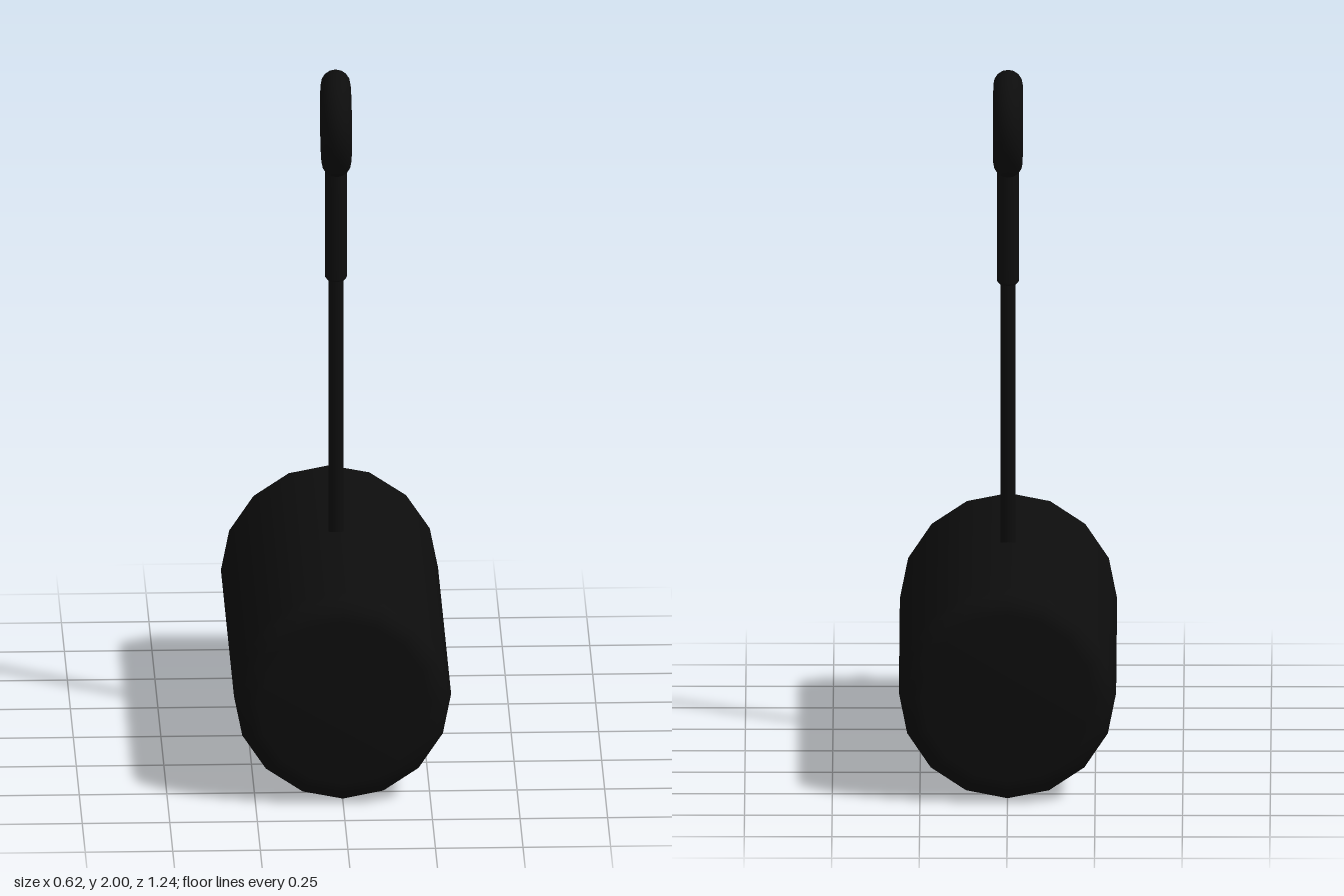
import * as THREE from 'three';

export function createModel() {
  const group = new THREE.Group();
  const black = new THREE.MeshStandardMaterial({ color: 0x0d0d0d });

  const add = (name, geometry, y) => {
    const mesh = new THREE.Mesh(geometry, black);
    mesh.name = name;
    mesh.position.y = y;
    group.add(mesh);
    return mesh;
  };

  // Weight: 16-sided drum lying along z, with rounded rims
  const radius = 0.31, half = 0.62, bevel = 0.07, steps = 3;
  const profile = [new THREE.Vector2(0, -half)];
  for (const end of [-1, 1]) {
    for (let i = 0; i <= steps; i++) {
      const a = (end < 0 ? i : steps - i) / steps * Math.PI / 2;
      profile.push(new THREE.Vector2(
        radius - bevel + bevel * Math.sin(a),
        end * (half - bevel + bevel * Math.cos(a))));
    }
  }
  profile.push(new THREE.Vector2(0, half));
  add('weight', new THREE.LatheGeometry(profile, 16).rotateX(Math.PI / 2), radius);

  // Thin rod rising from the middle of the weight
  add('rod', new THREE.CylinderGeometry(0.022, 0.022, 0.9, 16), 0.98);

  // Thicker sleeve with slightly chamfered ends
  const sleeve = [[0, -0.17], [0.024, -0.17], [0.031, -0.162], [0.031, 0.162], [0.024, 0.17], [0, 0.17]]
    .map(([x, y]) => new THREE.Vector2(x, y));
  add('sleeve', new THREE.LatheGeometry(sleeve, 16), 1.545);

  // Ring at the top, its hole facing sideways
  add('ring', new THREE.TorusGeometry(0.112, 0.042, 16, 48).rotateY(Math.PI / 2), 1.846);

  return group;
}
